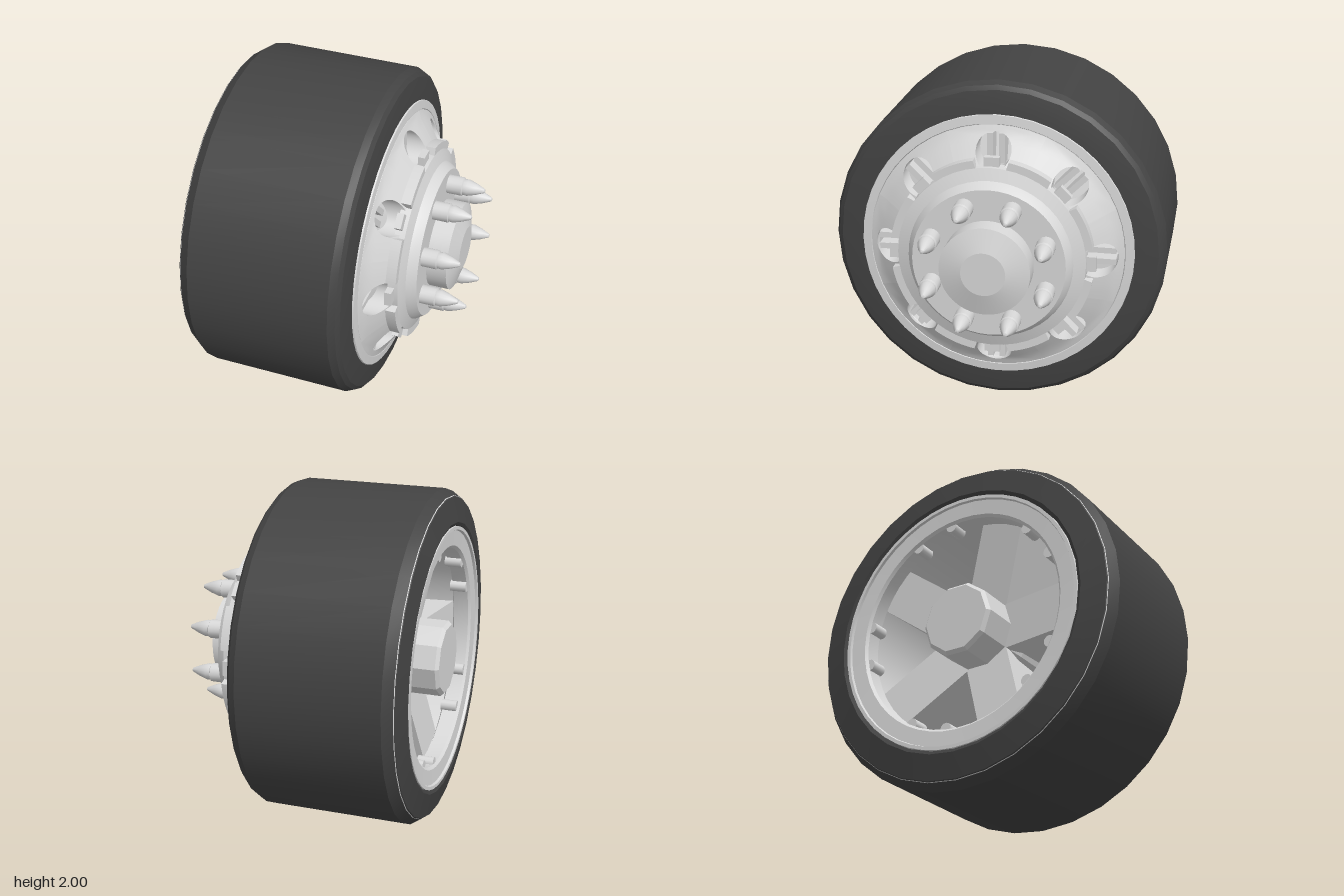
import * as THREE from 'three';
import { toCreasedNormals } from 'three/addons/utils/BufferGeometryUtils.js';
import { ParametricGeometry } from 'three/addons/geometries/ParametricGeometry.js';

const rubber = new THREE.MeshStandardMaterial({ color: 0x434343, side: THREE.DoubleSide });
rubber.name = 'rubber';
const metal = new THREE.MeshStandardMaterial({ color: 0xd8d8d8, side: THREE.DoubleSide });
metal.name = 'metal';

// The wheel is built around the y axis, with its outer face toward +y, then laid on its side.
export function createModel() {
  const model = new THREE.Group();
  const wheel = new THREE.Group();
  wheel.name = 'wheel';
  wheel.rotation.z = -Math.PI / 2;
  wheel.position.y = 1;
  model.add(wheel);

  const add = (name, geometry, material = metal, parent = wheel) => {
    const mesh = new THREE.Mesh(geometry, material);
    mesh.name = name;
    parent.add(mesh);
    return mesh;
  };
  // profile: [radius, height along the axle]
  const lathe = (profile, sides, crease = 0.4) => toCreasedNormals(
    new THREE.LatheGeometry(profile.map(([r, y]) => new THREE.Vector2(r, y)), sides), crease);
  const spin = (name, angle) => {
    const group = new THREE.Group();
    group.name = name;
    group.rotation.y = angle;
    wheel.add(group);
    return group;
  };
  const block = (name, parent, w, y0, y1, r0, r1) => {
    const mesh = add(name, new THREE.BoxGeometry(w, y1 - y0, r1 - r0), metal, parent);
    mesh.position.set(0, (y0 + y1) / 2, (r0 + r1) / 2);
    return mesh;
  };

  // Tyre with bevelled shoulders and a fine bead line on the inner shoulder
  add('tyre', lathe([[0.79, -0.6], [0.79, -0.74], [0.81, -0.75], [0.955, -0.72],
    [1, -0.655], [1, 0.19], [0.98, 0.23], [0.955, 0.25], [0.88, 0.265], [0.81, 0.272],
    [0.79, 0.2], [0.79, -0.6]], 32), rubber);
  add('beadLine', lathe([[0.960, -0.716], [0.963, -0.712]], 32));

  // Rim barrel with a narrow front lip and a broad ring on the inner side
  add('rim', lathe([[0.785, -0.745], [0.785, 0.2], [0.82, 0.262], [0.815, 0.28], [0.765, 0.285],
    [0.76, 0.275], [0.745, 0.275], [0.74, 0.29], [0.72, 0.27], [0.71, 0.1], [0.71, -0.6],
    [0.655, -0.62], [0.655, -0.71], [0.67, -0.725], [0.76, -0.73], [0.765, -0.745], [0.785, -0.745]], 48));

  // Sloped face, one eighth at a time, each pierced by a round hole with a sleeve
  const slope = (r) => (r > 0.72 ? 0.285 + (0.76 - r) * 0.4 : 0.301 + (0.72 - r) * 0.72);
  const holeRadius = 0.103, holeCentre = 0.622;
  const faceGeometry = toCreasedNormals(new ParametricGeometry((u, v, target) => {
    const c = Math.cos(u * Math.PI * 2), s = Math.sin(u * Math.PI * 2);
    const m = Math.max(Math.abs(c), Math.abs(s));
    const t = Math.max(0, (v - 0.25) / 0.75);
    const angle = THREE.MathUtils.lerp(c * holeRadius / holeCentre, c / m * Math.PI / 8, t);
    const r = holeCentre + THREE.MathUtils.lerp(s * holeRadius, s / m * 0.138, t);
    target.set(Math.sin(angle) * r, slope(r) - (v < 0.2 ? 0.13 : 0), Math.cos(angle) * r);
  }, 32, 4), 0.5);

  // Sloped backing plate behind the holes
  add('backingPlate', lathe([[0.71, 0.16], [0.25, 0.3]], 48));

  // Flange segment between two holes, with a thin bevel toward the front
  const flange = new THREE.Shape();
  flange.absarc(0, 0, 0.6, Math.PI * 0.055, Math.PI * 0.195, false);
  flange.absarc(0, 0, 0.5, Math.PI * 0.205, Math.PI * 0.045, true);
  const flangeGeometry = new THREE.ExtrudeGeometry(flange, { depth: 0.06, bevelEnabled: false, curveSegments: 8 });
  flangeGeometry.rotateX(-Math.PI / 2);
  flangeGeometry.translate(0, 0.39, 0);

  // Lug nut: sleeve, step and pointed cap
  const nutGeometry = lathe([[0.056, 0.52], [0.056, 0.62], [0.048, 0.625], [0.05, 0.65],
    [0.034, 0.7], [0.012, 0.75], [0, 0.755]], 16, 0.6);

  for (let i = 0; i < 8; i++) {
    const sector = spin('faceSector', i * Math.PI / 4);
    add('piercedFace', faceGeometry, metal, sector);
    add('flangeSegment', flangeGeometry, metal, sector);
    block('holeTab', sector, 0.09, 0.39, 0.43, 0.5, 0.61);
    for (const side of [-1, 1]) {
      block('holeFin', sector, 0.035, 0.18, 0.29, 0.53, 0.71).position.x = side * 0.035;
    }
    const nutArm = spin('lugNutArm', (i + 0.5) * Math.PI / 4);
    add('lugNut', nutGeometry, metal, nutArm).position.z = 0.363;
  }

  // Stepped centre plate and hub cap
  add('centrePlate', lathe([[0.56, 0.39], [0.555, 0.45], [0.485, 0.475], [0.475, 0.495],
    [0.45, 0.53], [0, 0.53]], 48));
  add('hubCap', lathe([[0.265, 0.52], [0.265, 0.65], [0.13, 0.69], [0, 0.69]], 40, 0.2));

  // Ten-sided axle hub on the inner side
  add('axleHub', lathe([[0, -0.755], [0.205, -0.755], [0.225, -0.735], [0.225, -0.5],
    [0.27, -0.4], [0.27, 0.5]], 10, 0.3));

  // Five deep inner spokes, narrower at the front, with pairs of small lugs between them
  const spokeGeometry = new THREE.BoxGeometry(0.28, 0.7, 0.52);
  const p = spokeGeometry.attributes.position;
  for (let i = 0; i < p.count; i++) {
    if (p.getY(i) > 0) p.setX(i, p.getX(i) * 0.8);
    else if (p.getZ(i) < 0) p.setY(i, -0.27);
  }
  spokeGeometry.computeVertexNormals();
  for (let i = 0; i < 5; i++) {
    const angle = i * Math.PI * 2 / 5;
    const arm = spin('spokeArm', angle);
    add('spoke', spokeGeometry, metal, arm).position.set(0, -0.25, 0.44);
    for (const offset of [0.44, 0.82]) {
      const lugArm = spin('rimLugArm', angle + offset);
      add('rimLug', new THREE.CylinderGeometry(0.035, 0.035, 0.1, 12), metal, lugArm).position.set(0, -0.66, 0.65);
    }
  }
  return model;
}
